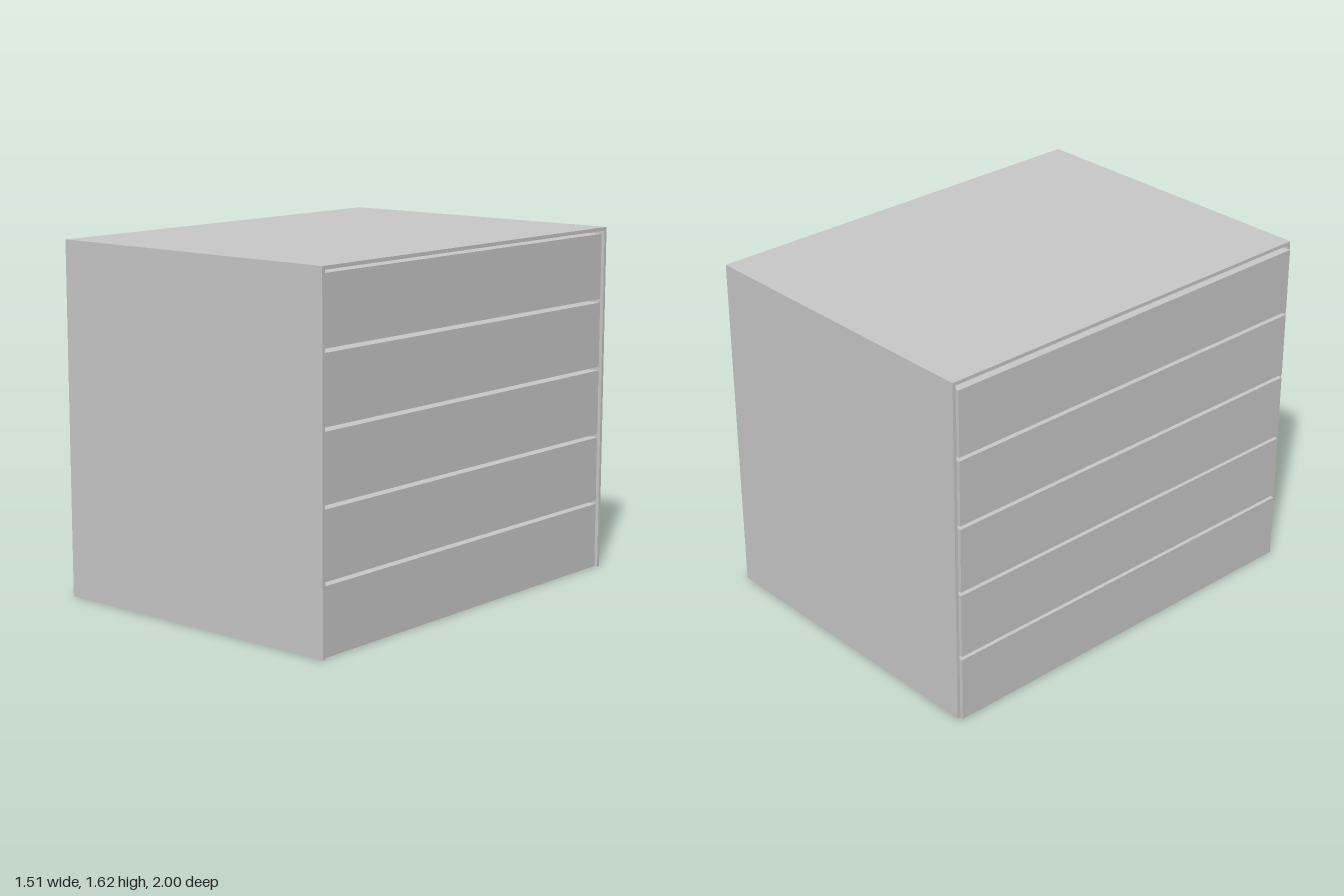
import * as THREE from 'three';

const T = 0.016;              // sheet thickness
const X = 0.757, Z = 1, H = 1.62;
const PITCH = 0.321, DRAWER_H = 0.304;

export function createModel() {
  const model = new THREE.Group();
  model.name = 'drawerCabinet';
  const grey = new THREE.MeshStandardMaterial({ color: 0xc8c8c8 });
  grey.name = 'lightGrey';

  // box given by its min and max corners
  const box = (parent, name, x0, x1, y0, y1, z0, z1) => {
    const mesh = new THREE.Mesh(new THREE.BoxGeometry(x1 - x0, y1 - y0, z1 - z0), grey);
    mesh.position.set((x0 + x1) / 2, (y0 + y1) / 2, (z0 + z1) / 2);
    mesh.name = name;
    parent.add(mesh);
  };

  // outer sleeve: top and two walls, open at both ends and below
  const sleeve = new THREE.Group();
  sleeve.name = 'sleeve';
  box(sleeve, 'topPanel', -X + T, X, H - T, H, -Z, Z);
  box(sleeve, 'frontWall', -X + T, X, 0, H - T, Z - T, Z);
  box(sleeve, 'backWall', -X + T, X, 0, H - T, -Z, -Z + T);
  model.add(sleeve);

  // five stacked trays, open below, pushed slightly out of the sleeve towards -x
  const postGeometry = new THREE.CylinderGeometry(0.03, 0.03, DRAWER_H - T, 8).toNonIndexed();
  postGeometry.computeVertexNormals();
  for (let i = 0; i < 5; i++) {
    const tray = new THREE.Group();
    tray.name = 'tray' + (i + 1);
    tray.position.y = i * PITCH;
    const x0 = -X, x1 = X - T, z1 = Z - T, h = DRAWER_H;
    box(tray, 'trayDeck', x0, x1, h - T, h, -z1, z1);
    box(tray, 'rightPanel', x0, x0 + T, 0, h - T, -z1, z1);
    box(tray, 'leftPanel', x1 - T, x1, 0, h - T, -z1, z1);
    box(tray, 'traySideFront', x0 + T, x1 - T, 0, h - T, z1 - T, z1);
    box(tray, 'traySideBack', x0 + T, x1 - T, 0, h - T, -z1, -z1 + T);
    // supporting posts
    for (const x of [-0.25, 0.25]) for (const z of [-0.5, 0, 0.5]) {
      const post = new THREE.Mesh(postGeometry, grey);
      post.name = 'post';
      post.position.set(x, (h - T) / 2, z);
      tray.add(post);
    }
    model.add(tray);
  }
  return model;
}
